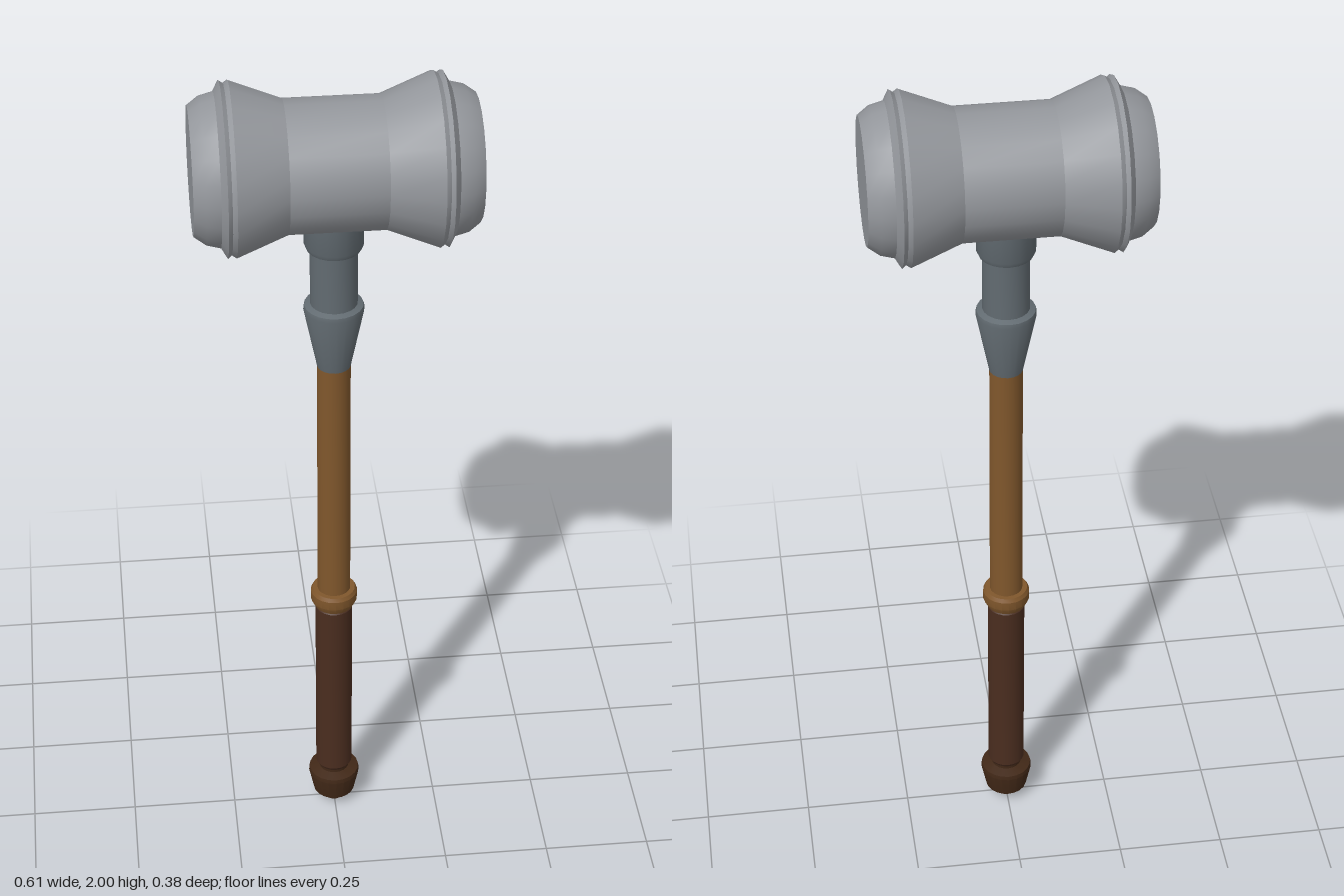
import * as THREE from 'three';
import { toCreasedNormals } from 'three/addons/utils/BufferGeometryUtils.js';

const mat = (color) => new THREE.MeshStandardMaterial({ color });

// Turned part from [radius, height] pairs, listed bottom to top
function turned(name, profile, sides, material, crease = 0.5) {
  const points = profile.map(([r, y]) => new THREE.Vector2(r, y));
  const geometry = toCreasedNormals(new THREE.LatheGeometry(points, sides), crease);
  const mesh = new THREE.Mesh(geometry, material);
  mesh.name = name;
  return mesh;
}

export function createModel() {
  const hammer = new THREE.Group();
  hammer.name = 'hammer';

  const headSteel = mat(0x94979c);
  const socketSteel = mat(0x626b71);
  const wood = mat(0x80572c);
  const leather = mat(0x4a2d1f);
  const darkWood = mat(0x412817);

  // Head: waisted barrel lying along x, with a grooved ridge and a striking face at each end
  const head = new THREE.Group();
  head.name = 'head';
  head.position.y = 1.813;
  head.rotation.z = -Math.PI / 2;
  const half = [[0.146, 0.105], [0.19, 0.218], [0.183, 0.228], [0.19, 0.237], [0.167, 0.25]];
  const mirrored = half.map(([r, y]) => [r, -y]).reverse();
  head.add(turned('headBarrel', [...mirrored, ...half], 20, headSteel, 0.36));
  for (const side of [1, -1]) {
    const face = turned(side > 0 ? 'leftStrikingFace' : 'rightStrikingFace',
      [[0.167, 0.25], [0.159, 0.281], [0.14, 0.307], [0, 0.307]], 20, headSteel, 0.65);
    if (side < 0) face.rotation.x = Math.PI;
    head.add(face);
  }
  hammer.add(head);

  // Metal socket joining the head to the shaft
  hammer.add(
    turned('headCollar', [[0.05, 1.608], [0.061, 1.608], [0.066, 1.62], [0.066, 1.72]], 20, socketSteel),
    turned('neck', [[0.053, 1.45], [0.053, 1.62]], 20, socketSteel),
    turned('socketCone', [[0, 1.3], [0.038, 1.3], [0.068, 1.452], [0.066, 1.462], [0.05, 1.468]], 20, socketSteel),
  );

  // Wooden shaft with its stop ring
  hammer.add(
    turned('shaft', [[0.039, 0.6], [0.038, 1.32]], 20, wood),
    turned('stopRing', [[0.038, 0.618], [0.046, 0.618], [0.055, 0.636], [0.055, 0.658], [0.05, 0.667], [0.036, 0.667]], 20, wood),
  );

  // Wrapped grip and pommel
  hammer.add(
    turned('grip', [[0, 0.113], [0.038, 0.113], [0.044, 0.123], [0.044, 0.612], [0.038, 0.62]], 20, leather),
    turned('pommelNeck', [[0.036, 0.085], [0.036, 0.118]], 20, darkWood),
    turned('pommel', [[0, 0], [0.02, 0], [0.025, 0.018], [0.034, 0.022], [0.05, 0.03],
      [0.062, 0.088], [0.06, 0.098], [0.036, 0.104]], 20, darkWood),
  );

  return hammer;
}
